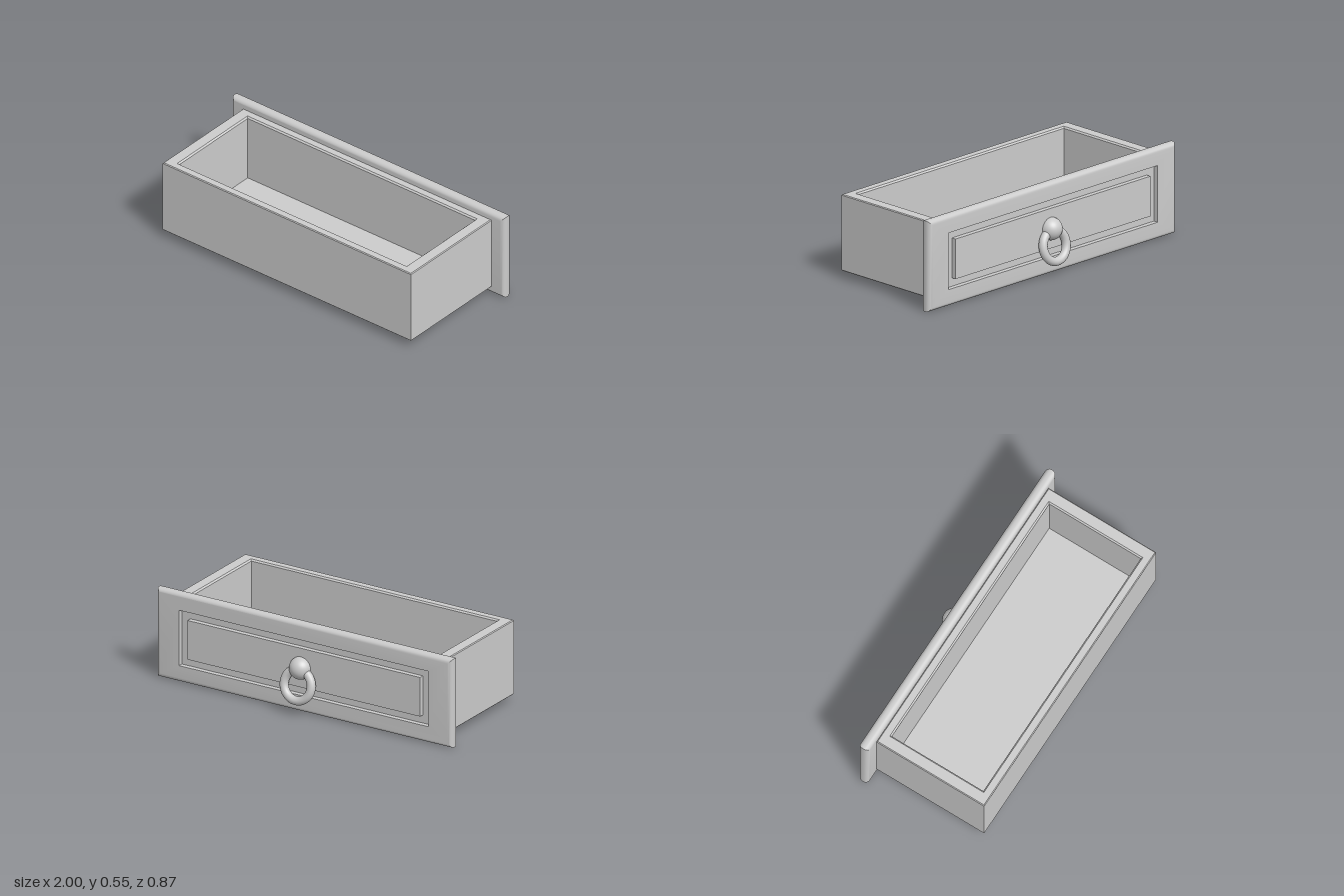
import * as THREE from 'three';
import { toCreasedNormals } from 'three/addons/utils/BufferGeometryUtils.js';

const material = new THREE.MeshStandardMaterial({ color: 0xcccccc });

// Skins nested rectangles, each [half width, half height, depth], along local z.
function loftRectangles(rings) {
  const corners = [[1, -1], [1, 1], [-1, 1], [-1, -1]];
  const positions = [];
  const point = ([w, h, z], k) => [w * corners[k % 4][0], h * corners[k % 4][1], z];
  for (let i = 0; i < rings.length - 1; i++) {
    for (let k = 0; k < 4; k++) {
      const a = point(rings[i], k), b = point(rings[i], k + 1);
      const c = point(rings[i + 1], k), d = point(rings[i + 1], k + 1);
      if (rings[i][0] > 0) positions.push(...a, ...b, ...c);
      if (rings[i + 1][0] > 0) positions.push(...b, ...d, ...c);
    }
  }
  const geometry = new THREE.BufferGeometry();
  geometry.setAttribute('position', new THREE.Float32BufferAttribute(positions, 3));
  return toCreasedNormals(geometry, 0.6);
}

// Quarter-round edge rings; from and to are angles in the depth/outward plane.
function roundedEdge(w, h, z, r, from, to, steps = 5) {
  return Array.from({ length: steps + 1 }, (_, i) => {
    const t = from + ((to - from) * i) / steps;
    const out = r * (Math.cos(t) - 1);
    return [w + out, h + out, z + r * Math.sin(t)];
  });
}

function addMesh(group, name, geometry) {
  const mesh = new THREE.Mesh(geometry, material);
  mesh.name = name;
  group.add(mesh);
  return mesh;
}

export function createModel() {
  const group = new THREE.Group();
  group.name = 'drawer';

  // Open box with slightly bevelled edges
  const e = 0.005;
  const tray = addMesh(group, 'drawerBox', loftRectangles([
    [0, 0, 0.045],
    [0.91 - e, 0.3625 - e, 0.045],
    [0.91, 0.3625, 0.045 + e],
    [0.91, 0.3625, 0.503 - e],
    [0.91 - e, 0.3625 - e, 0.503],
    [0.842, 0.317, 0.503],
    [0.833, 0.308, 0.494],
    [0.833, 0.308, 0.09],
    [0, 0, 0.09],
  ]));
  tray.rotation.x = -Math.PI / 2;
  tray.position.z = 0.0725;

  // Rounded front panel with a sunken border around a raised field
  const r = 0.028, back = 0.29, face = 0.357, sunk = face - 0.03;
  const panel = addMesh(group, 'frontPanel', loftRectangles([
    [0, 0, back],
    ...roundedEdge(1, 0.2725, back + r, r, -Math.PI / 2, 0),
    ...roundedEdge(1, 0.2725, face - r, r, 0, Math.PI / 2),
    [0.845, 0.17, face],
    [0.845, 0.17, sunk],
    [0.787, 0.12, sunk],
    [0.787, 0.12, face],
    [0, 0, face],
  ]));
  panel.rotation.y = Math.PI;
  panel.position.y = 0.2725;

  // Ball knob and hanging ring pull
  const knob = addMesh(group, 'knob', new THREE.SphereGeometry(0.067, 32, 20));
  knob.position.set(0.02, 0.273, -0.36);
  const ring = addMesh(group, 'ringPull', new THREE.TorusGeometry(0.091, 0.026, 18, 48));
  ring.position.set(0.02, 0.178, -0.39);
  ring.rotation.x = 0.22;

  return group;
}
